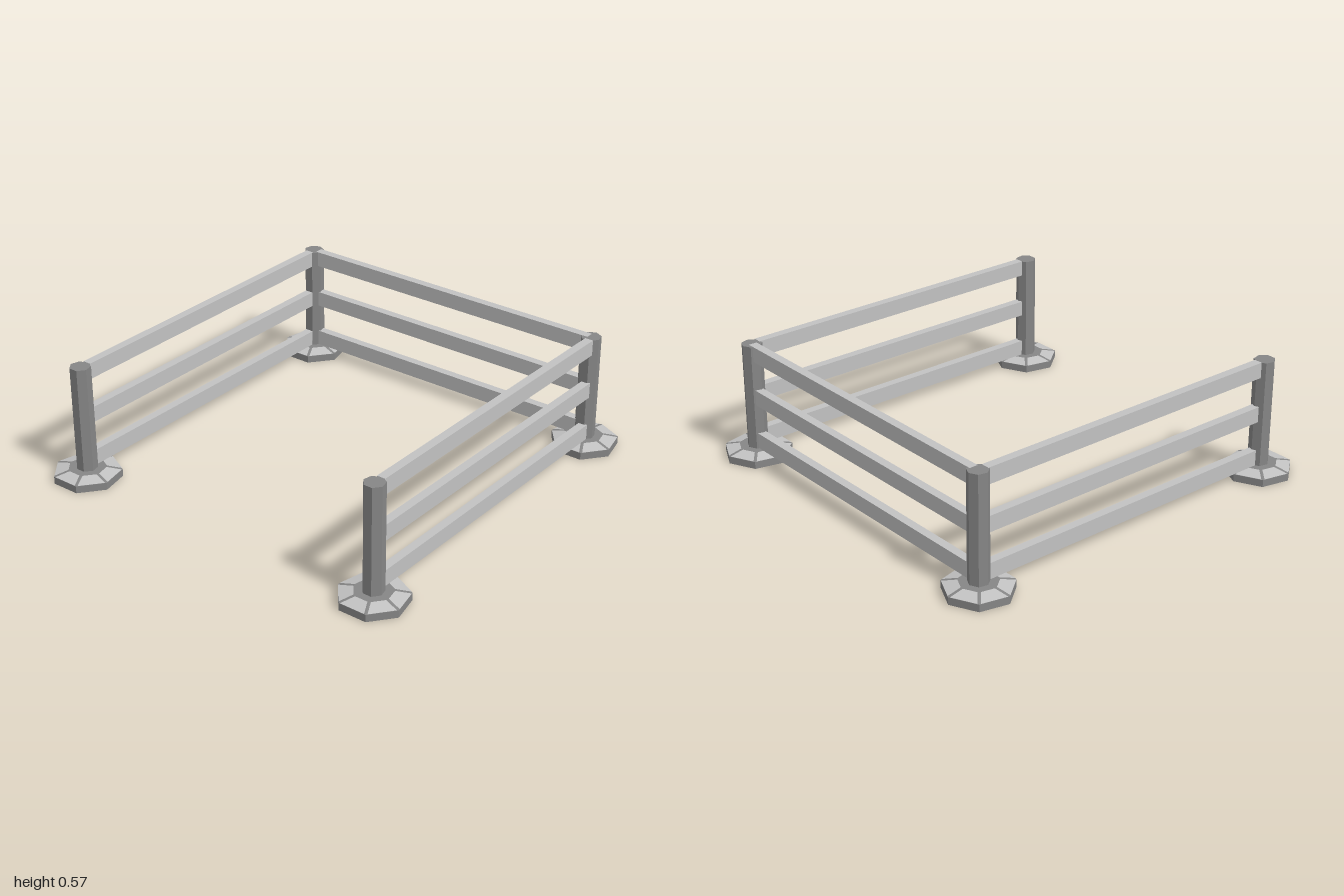
import * as THREE from 'three';

const SIDES = 7;
const BASE_R = 0.163, RING_R = 0.093, POST_R = 0.05;
const RIM_Y = 0.036, RING_Y = 0.05;

// Seven-sided prism or frustum with one corner pointing to -z
function heptagon(rTop, rBottom, y0, y1, material, name) {
  const geo = new THREE.CylinderGeometry(rTop, rBottom, y1 - y0, SIDES, 1, false, Math.PI);
  const mesh = new THREE.Mesh(geo, material);
  mesh.position.y = (y0 + y1) / 2;
  mesh.name = name;
  return mesh;
}

// Pale plates on the sloping faces of the foot, leaving narrow ridges between
function slopePanels(material) {
  const positions = [];
  const lift = 0.0015, gap = 0.008;
  for (let i = 0; i < SIDES; i++) {
    const a0 = Math.PI + (i / SIDES) * Math.PI * 2;
    const a1 = a0 + (Math.PI * 2) / SIDES;
    const edge = (r, y) => {
      const p = new THREE.Vector3(Math.sin(a0) * r, y + lift, Math.cos(a0) * r);
      const q = new THREE.Vector3(Math.sin(a1) * r, y + lift, Math.cos(a1) * r);
      const inset = q.clone().sub(p).setLength(gap);
      return [p.add(inset), q.sub(inset)];
    };
    const [o0, o1] = edge(BASE_R, RIM_Y);
    const [i0, i1] = edge(RING_R, RING_Y);
    for (const v of [o0, o1, i1, o0, i1, i0]) positions.push(v.x, v.y, v.z);
  }
  const geo = new THREE.BufferGeometry();
  geo.setAttribute('position', new THREE.Float32BufferAttribute(positions, 3));
  geo.computeVertexNormals();
  const mesh = new THREE.Mesh(geo, material);
  mesh.name = 'footPanels';
  return mesh;
}

export function createModel() {
  const dark = new THREE.MeshStandardMaterial({ color: 0x868686, flatShading: true });
  dark.name = 'dark grey';
  const pale = new THREE.MeshStandardMaterial({ color: 0xc2c2c2, flatShading: true });
  pale.name = 'pale grey';

  const model = new THREE.Group();
  model.name = 'fence';

  // Corner posts, each on a broad foot
  const corners = [[-0.838, -0.837], [0.82, -0.837], [-0.838, 0.853], [0.832, 0.853]];
  for (const [x, z] of corners) {
    const post = new THREE.Group();
    post.name = 'cornerPost';
    post.position.set(x, 0, z);
    post.add(
      heptagon(BASE_R, BASE_R, 0, RIM_Y, dark, 'footRim'),
      heptagon(RING_R, BASE_R, RIM_Y, RING_Y, dark, 'footSlope'),
      slopePanels(pale),
      heptagon(POST_R, POST_R, RING_Y - 0.01, 0.573, dark, 'postShaft')
    );
    model.add(post);
  }

  // Three rails on the back and on both sides
  const addRail = (name, w, d, x, y, z) => {
    const rail = new THREE.Mesh(new THREE.BoxGeometry(w, 0.077, d), pale);
    rail.position.set(x, y, z);
    rail.name = name;
    model.add(rail);
  };
  for (const y of [0.09, 0.313, 0.5365]) {
    addRail('backRail', 1.62, 0.042, 0, y, -0.838);
    addRail('rightRail', 0.042, 1.61, -0.838, y, 0.005);
    addRail('leftRail', 0.042, 1.61, 0.832, y, 0.005);
  }
  return model;
}
